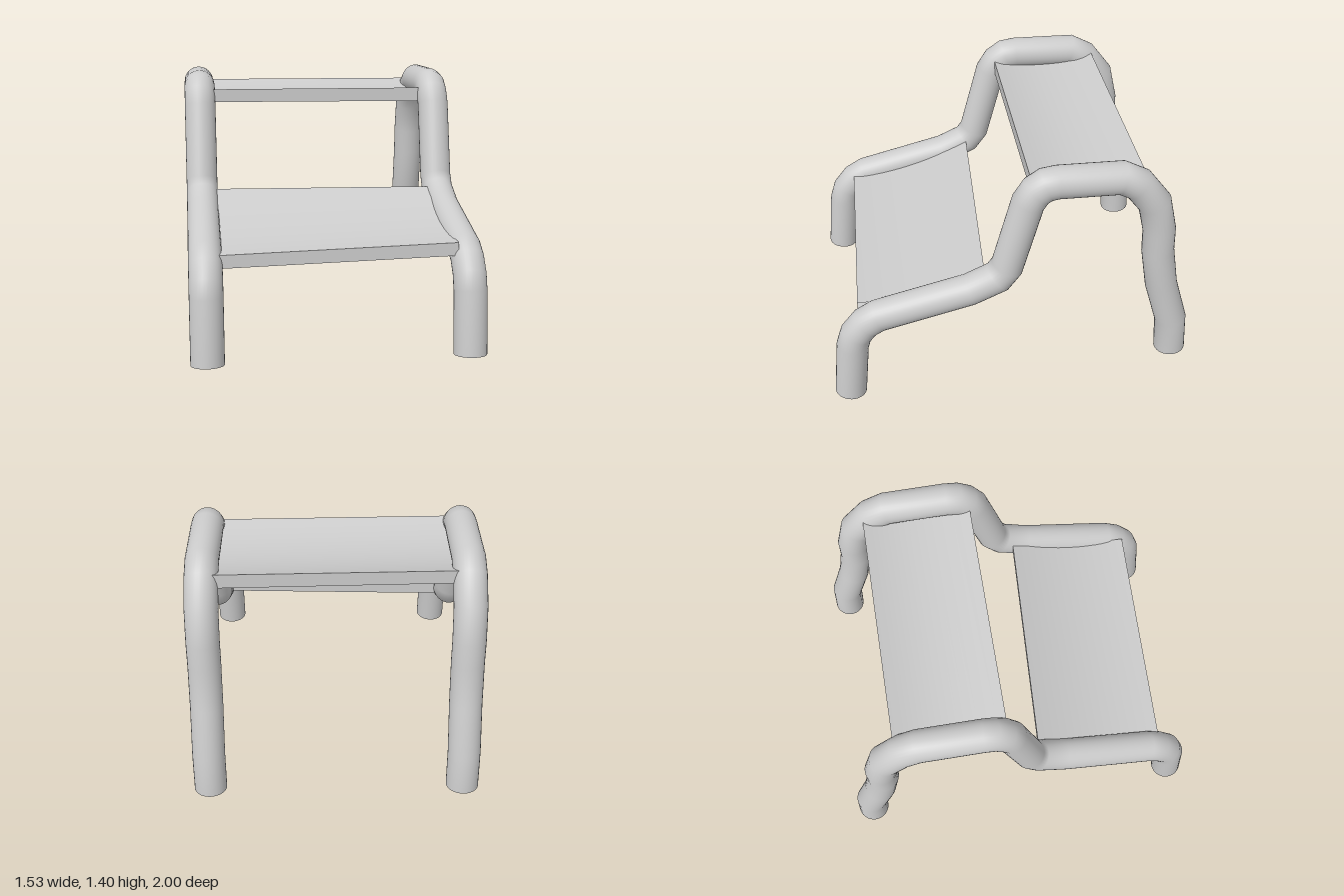
import * as THREE from 'three';
import { mergeGeometries } from 'three/addons/utils/BufferGeometryUtils.js';

const material = new THREE.MeshStandardMaterial({ color: 0xcccccc, side: THREE.DoubleSide });

function indexed(positions, index) {
  const g = new THREE.BufferGeometry();
  g.setAttribute('position', new THREE.Float32BufferAttribute(positions, 3));
  g.setIndex(index);
  g.computeVertexNormals();
  return g;
}

// Open pipe with mitred bends along a [z, y] path
function pipe(path, radius, sides) {
  const pos = [], index = [];
  const pts = path.map(([z, y]) => new THREE.Vector2(z, y));
  pts.forEach((p, i) => {
    const before = p.clone().sub(pts[Math.max(i - 1, 0)]).normalize();
    const after = pts[Math.min(i + 1, pts.length - 1)].clone().sub(p).normalize();
    const t = before.clone().add(after).normalize();
    const stretch = 1 / Math.max(t.dot(i ? before : after), 0.7);
    for (let j = 0; j < sides; j++) {
      const a = (j / sides) * Math.PI * 2;
      const n = Math.sin(a) * radius * stretch;
      pos.push(Math.cos(a) * radius, p.y + n * t.x, p.x - n * t.y);
      if (i < pts.length - 1) {
        const k = (j + 1) % sides, b = i * sides, c = b + sides;
        index.push(b + j, b + k, c + k, b + j, c + k, c + j);
      }
    }
  });
  return indexed(pos, index);
}

// Surface stretched across x between matching lines of [z, y] points
function strip(left, right, halfWidth) {
  const pos = [], index = [];
  left.forEach(([z, y], i) => {
    pos.push(-halfWidth, y, z, halfWidth, right[i][1], right[i][0]);
    if (i < left.length - 1) {
      const a = i * 2;
      index.push(a, a + 1, a + 3, a, a + 3, a + 2);
    }
  });
  return indexed(pos, index);
}

// Four sides of a sling: hollowed top, back lip, underside, front lip
function sections({ front, back, lip, sag }) {
  const top = [], under = [];
  const n = 12;
  for (let i = 0; i <= n; i++) {
    const t = i / n, hollow = 4 * t * (1 - t);
    const z = THREE.MathUtils.lerp(front[0], back[0], t);
    const y = THREE.MathUtils.lerp(front[1], back[1], t);
    top.push([z, y - sag * hollow]);
    under.unshift([z, y - lip - 0.012 * hollow]);
  }
  return [top, [top[n], under[0]], under, [under[n], top[0]]];
}

function sling(leftEdge, rightEdge) {
  const l = sections(leftEdge), r = sections(rightEdge);
  return mergeGeometries(l.map((line, i) => strip(line, r[i], 0.625)));
}

export function createModel() {
  const group = new THREE.Group();
  const add = (name, geometry, x = 0) => {
    const mesh = new THREE.Mesh(geometry, material);
    mesh.name = name;
    mesh.position.x = x;
    group.add(mesh);
  };

  // Bent side rails, front foot to back foot
  const rail = pipe([
    [0.914, 0], [0.88, 0.335], [0.855, 0.415], [0.80, 0.485], [0.73, 0.527],
    [0.235, 0.65], [0.085, 0.72], [0.035, 0.79],
    [-0.07, 1.195], [-0.11, 1.26], [-0.16, 1.295], [-0.22, 1.304],
    [-0.55, 1.298], [-0.64, 1.25], [-0.735, 1.125], [-0.775, 0.95], [-0.78, 0.81],
    [-0.82, 0.57], [-0.897, 0.31], [-0.912, 0.09],
  ], 0.087, 32);
  add('leftRail', rail, 0.68);
  add('rightRail', rail, -0.68);

  // Upper seat
  add('upperSeat', sling(
    { front: [-0.085, 1.292], back: [-0.675, 1.298], lip: 0.073, sag: 0.05 },
    { front: [-0.095, 1.287], back: [-0.685, 1.292], lip: 0.078, sag: 0.05 },
  ));

  // Lower step, slightly skewed
  add('lowerStep', sling(
    { front: [0.808, 0.54], back: [0.095, 0.745], lip: 0.07, sag: 0.04 },
    { front: [0.835, 0.578], back: [0.15, 0.742], lip: 0.07, sag: 0.04 },
  ));
  return group;
}
